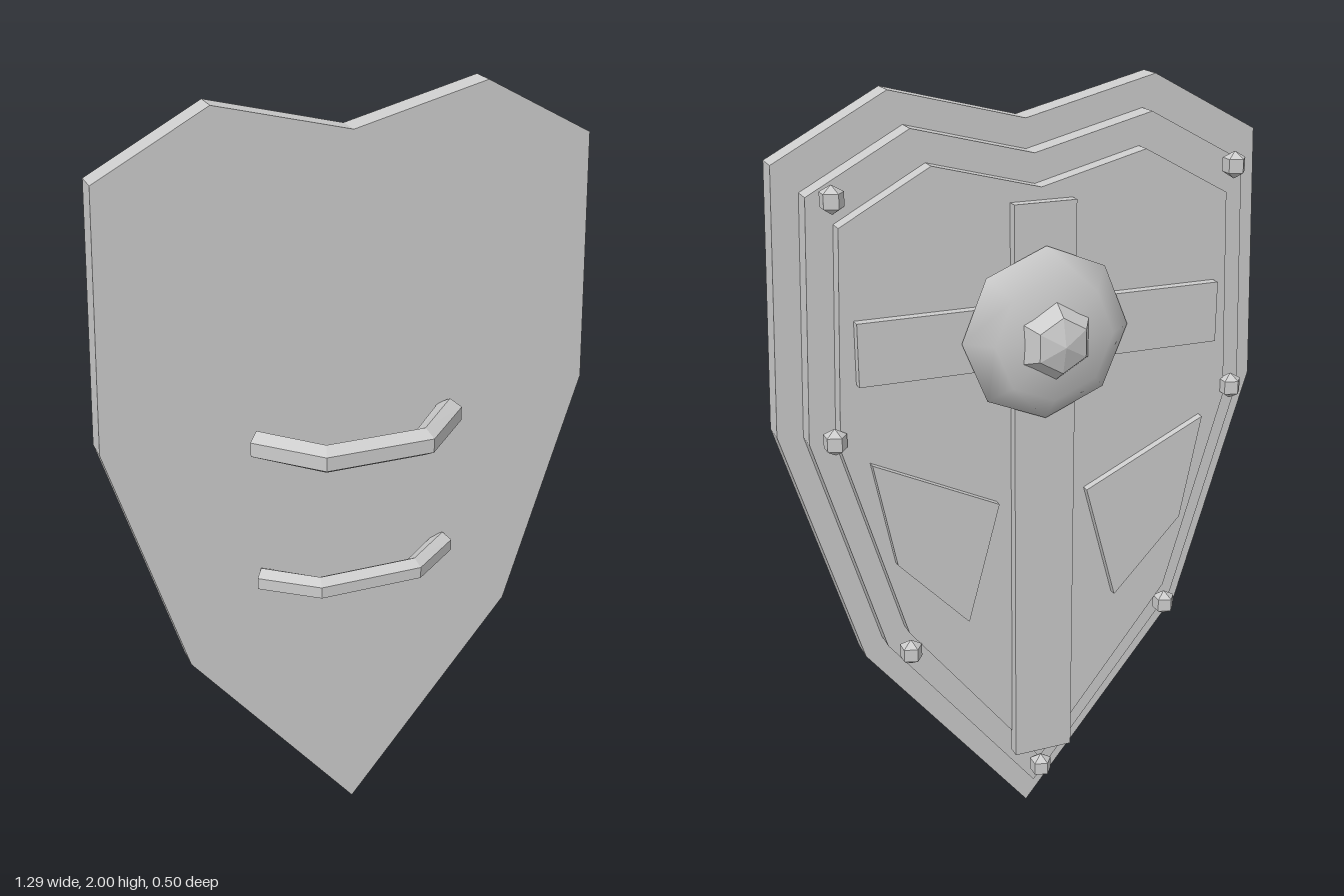
import * as THREE from 'three';

// Polyline curve sampled evenly by corner, so a tube bends exactly at its points
class BentBar extends THREE.Curve {
  constructor(points) { super(); this.points = points; }
  getPoint(t, target = new THREE.Vector3()) {
    const n = this.points.length - 1;
    const i = Math.min(Math.floor(t * n + 1e-9), n - 1);
    return target.lerpVectors(this.points[i], this.points[i + 1], t * n - i);
  }
  getPointAt(t, target) { return this.getPoint(t, target); }
  getTangentAt(t, target) { return this.getTangent(t, target); }
}

export function createModel() {
  const group = new THREE.Group();
  const grey = new THREE.MeshStandardMaterial({ color: 0xcccccc });
  grey.name = 'plain grey';

  const add = (name, geometry, x = 0, y = 0, z = 0, parent = group) => {
    const mesh = new THREE.Mesh(geometry, grey);
    mesh.name = name;
    mesh.position.set(x, y, z);
    parent.add(mesh);
    return mesh;
  };
  const faceted = (geometry) => {
    const g = geometry.toNonIndexed();
    g.computeVertexNormals();
    return g;
  };
  // Flat slab of the given outline between two depths
  const slab = (points, zBack, zFront) => {
    const shape = new THREE.Shape(points.map(([x, y]) => new THREE.Vector2(x, y)));
    const g = new THREE.ExtrudeGeometry(shape, { depth: zFront - zBack, bevelEnabled: false });
    return g.translate(0, 0, zBack);
  };

  // Three stepped shield plates
  const half = [[0.45, 0.56], [0.645, 1.2], [0.62, 1.85], [0.34, 2]];
  const outline = [[0, 0], ...half, [0, 1.915], ...half.map(([x, y]) => [-x, y]).reverse()];
  [
    ['basePlate', 1, 1, 0, 0, 0.065],
    ['middlePlate', 0.9, 0.91, 0.1, -0.055, 0.001],
    ['outerPlate', 0.8, 0.82, 0.2, -0.097, -0.054],
  ].forEach(([name, sx, sy, lift, z0, z1]) =>
    add(name, slab(outline.map(([x, y]) => [x * sx, y * sy + lift]), z0, z1)));

  // Crossed straps
  add('verticalStrap', new THREE.BoxGeometry(0.16, 1.5, 0.035), 0, 0.99, -0.106);
  add('horizontalStrap', new THREE.BoxGeometry(0.94, 0.155, 0.033), 0, 1.42, -0.106);

  // Raised side panels
  const panel = [[0.12, 0.985], [0.205, 0.67], [0.39, 0.865], [0.445, 1.14]];
  for (const s of [1, -1]) {
    add(s > 0 ? 'leftPanel' : 'rightPanel', slab(panel.map(([x, y]) => [s * x, y]), -0.118, -0.09));
  }

  // Domed boss with a faceted knob
  const dome = new THREE.SphereGeometry(0.217, 8, 4).scale(1, 0.078 / 0.217, 1).rotateX(-Math.PI / 2);
  add('bossDome', dome, 0, 1.42, -0.128);
  const knob = new THREE.SphereGeometry(0.097, 6, 4)
    .rotateY(Math.PI / 6 * 3).scale(1, 0.06 / 0.097, 1).rotateX(-Math.PI / 2);
  add('bossKnob', faceted(knob), 0, 1.42, -0.19);

  // Rivets around the rim
  const rivet = faceted(new THREE.SphereGeometry(0.034, 5, 3));
  add('bottomRivet', rivet, 0, 0.18, -0.105);
  for (const s of [1, -1]) {
    for (const [x, y] of [[0.51, 1.785], [0.53, 1.21], [0.36, 0.61]]) {
      add(s > 0 ? 'leftRivet' : 'rightRivet', rivet, s * x, y, -0.105);
    }
  }

  // Bent grips on the inner side, capped at both ends
  const grip = (name, y, r, endX, endZ, midX, midZ) => {
    const part = new THREE.Group();
    part.name = name;
    group.add(part);
    const pts = [[-endX, endZ], [-midX, midZ], [midX, midZ], [endX, endZ]]
      .map(([x, z]) => new THREE.Vector3(x, y, z));
    add('gripBar', faceted(new THREE.TubeGeometry(new BentBar(pts), 3, r, 6)), 0, 0, 0, part);
    for (const [end, next] of [[pts[0], pts[1]], [pts[3], pts[2]]]) {
      const cap = add('gripEnd', new THREE.CircleGeometry(r, 6, Math.PI / 2), end.x, end.y, end.z, part);
      cap.lookAt(end.clone().multiplyScalar(2).sub(next));
    }
  };
  grip('upperGrip', 1.167, 0.037, 0.26, 0.08, 0.13, 0.216);
  grip('lowerGrip', 0.78, 0.031, 0.255, 0.072, 0.13, 0.17);

  return group;
}
